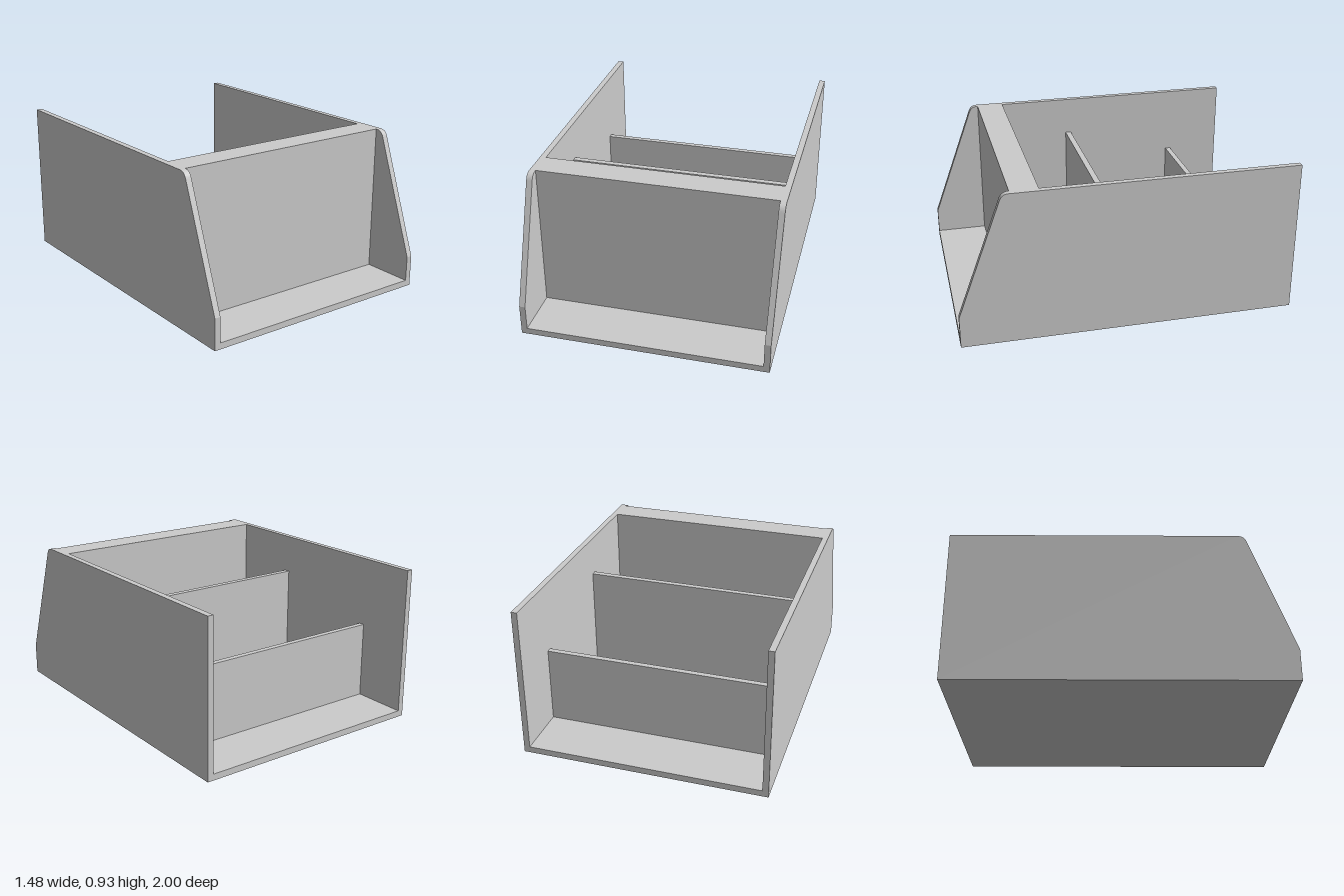
import * as THREE from 'three';

const HALF_WIDTH = 0.739, THICK = 0.036, HEIGHT = 0.927;
const INNER = HALF_WIDTH - THICK;

export function createModel() {
  const model = new THREE.Group();
  model.name = 'openTray';
  const material = new THREE.MeshStandardMaterial({ color: 0xcccccc });

  const add = (name, geometry) => {
    const mesh = new THREE.Mesh(geometry, material);
    mesh.name = name;
    model.add(mesh);
    return mesh;
  };

  // A cross panel between the side walls, from y0 to y1 and z0 to z1
  const panel = (name, y0, y1, z0, z1) =>
    add(name, new THREE.BoxGeometry(2 * INNER, y1 - y0, z1 - z0))
      .position.set(0, (y0 + y1) / 2, (z0 + z1) / 2);

  // Side walls: sloped front edge with a rounded upper corner
  const profile = new THREE.Shape();
  profile.moveTo(-1, 0);
  profile.lineTo(1, 0);
  profile.lineTo(1, 0.19);
  profile.lineTo(0.742, 0.888);
  profile.quadraticCurveTo(0.728, HEIGHT, 0.69, HEIGHT);
  profile.lineTo(-1, HEIGHT);
  profile.closePath();
  for (const [name, x] of [['leftWall', INNER], ['rightWall', -HALF_WIDTH]]) {
    const wall = new THREE.ExtrudeGeometry(profile, { depth: THICK, bevelEnabled: false, curveSegments: 10 });
    // Turn the profile so that its horizontal axis runs along z
    wall.rotateY(-Math.PI / 2);
    wall.translate(x + THICK, 0, 0);
    add(name, wall);
  }

  // Floor, thick front wall and the two stepped dividers
  panel('floor', 0, 0.038, -1, 1);
  panel('frontWall', 0.038, HEIGHT, 0.52, 0.684);
  panel('middleDivider', 0.038, 0.69, 0.053, 0.089);
  panel('rearDivider', 0.038, 0.506, -0.668, -0.634);

  return model;
}
